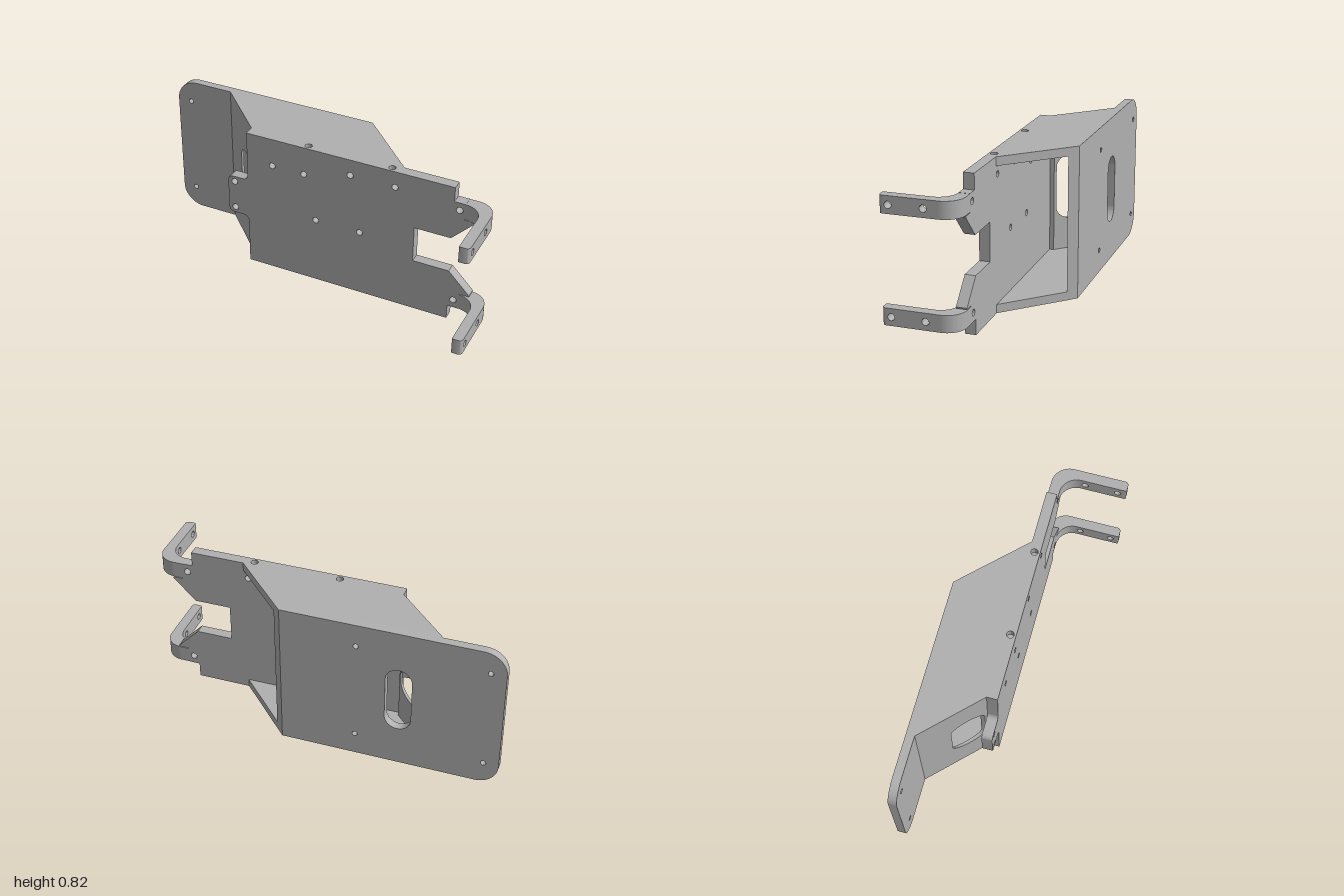
import * as THREE from 'three';
import { toCreasedNormals } from 'three/addons/utils/BufferGeometryUtils.js';

const H = 0.823, WALL = 0.047;           // overall height, side panel thickness
const BACK = -0.365, BACK_IN = -0.32;    // back plate faces
const FRONT_IN = -0.035, FRONT = 0.022;  // front plate faces

const metal = new THREE.MeshStandardMaterial({ color: 0xb0b0b0 });
metal.name = 'grey metal';

const polygon = (points) => new THREE.Shape(points.map(([x, y]) => new THREE.Vector2(x, y)));

// Outline with per-corner radius: [x, y, r]
function rounded(corners) {
  const s = new THREE.Shape(), n = corners.length;
  corners.forEach(([x, y, r = 0], i) => {
    const p = new THREE.Vector2(x, y);
    const toward = (q) => new THREE.Vector2(q[0], q[1]).sub(p).setLength(r).add(p);
    const a = toward(corners[(i + n - 1) % n]), b = toward(corners[(i + 1) % n]);
    if (i === 0) s.moveTo(a.x, a.y); else s.lineTo(a.x, a.y);
    if (r) {
      // circular fillet as a cubic, for right-angled corners
      const k = 0.5523;
      const c1 = a.clone().lerp(p, k), c2 = b.clone().lerp(p, k);
      s.bezierCurveTo(c1.x, c1.y, c2.x, c2.y, b.x, b.y);
    }
  });
  s.closePath();
  return s;
}

function drill(shape, holes, r) {
  for (const [x, y] of holes) shape.holes.push(new THREE.Path().absarc(x, y, r, 0, Math.PI * 2, true));
  return shape;
}

// Round-ended slot between two end centres
function slot(x1, y1, x2, y2, r) {
  const a = Math.atan2(y2 - y1, x2 - x1), q = Math.PI / 2;
  const p = new THREE.Path();
  p.absarc(x2, y2, r, a - q, a + q, false);
  p.absarc(x1, y1, r, a + q, a + 3 * q, false);
  p.closePath();
  return p;
}

const extrude = (shape, depth) => new THREE.ExtrudeGeometry(shape, { depth, bevelEnabled: false, curveSegments: 14 });

// Move vertices by a rule
function warp(geo, rule) {
  const pos = geo.attributes.position, v = new THREE.Vector3();
  for (let i = 0; i < pos.count; i++) {
    rule(v.fromBufferAttribute(pos, i));
    pos.setXYZ(i, v.x, v.y, v.z);
  }
  return geo;
}

export function createModel() {
  const model = new THREE.Group();
  const add = (name, geo) => {
    const mesh = new THREE.Mesh(toCreasedNormals(geo, 0.5), metal);
    mesh.name = name;
    model.add(mesh);
  };
  // Shapes drawn in (x, -z) and raised along y
  const upright = (shape, y0, y1) => extrude(shape, y1 - y0).rotateX(-Math.PI / 2).translate(0, y0, 0);
  const flipY = ([x, y, r]) => [x, H - y, r];

  // Back plate, rounded on one end and mitred on the other
  const back = rounded([[-1, 0, 0.12], [0.17, 0], [0.17, H], [-1, H, 0.12]]);
  drill(back, [[-0.92, 0.7], [-0.92, 0.125], [-0.235, 0.695], [-0.235, 0.128]], 0.014);
  const opening = () => slot(-0.461, 0.295, -0.461, 0.53, 0.07);
  back.holes.push(opening());
  add('backPlate', warp(extrude(back, BACK_IN - BACK).translate(0, 0, BACK), (v) => {
    if (v.x > 0.1 && v.z > BACK_IN - 0.01) v.x += 0.045;
  }));

  // Sloping wall joining the back plate to the front plate
  const slope = polygon([[-0.665, WALL], [-0.38, WALL], [-0.38, H - WALL], [-0.665, H - WALL]]);
  slope.holes.push(opening());
  add('slopingWall', warp(extrude(slope, 0.024).translate(0, 0, 0.321), (v) => { v.z += v.x; }));

  // Side panels with slanted slots, and the drilled edge rails of the front plate
  for (const [y0, y1, side] of [[0, WALL, 'lower'], [H - WALL, H, 'upper']]) {
    const panel = polygon([[-0.38, -FRONT_IN], [0.495, -FRONT_IN], [0.215, -BACK_IN], [-0.665, -BACK_IN]]);
    for (let i = 0; i < 5; i++) {
      const x = -0.507 + i * 0.176;
      panel.holes.push(slot(x, 0.267, x + 0.167, 0.097, 0.035));
    }
    add(side + 'SidePanel', upright(panel, y0, y1));
    const rail = polygon([[-0.38, -FRONT], [0.79, -FRONT], [0.79, -FRONT_IN], [-0.38, -FRONT_IN]]);
    drill(rail, [[-0.03, 0.008], [0.44, 0.008]], 0.019);
    add(side + 'EdgeRail', upright(rail, y0, y1));
  }

  // Front plate with tab on one end and forked notch on the other
  const upper = [
    [0.585, 0.515], [0.785, 0.515], [0.905, 0.638], [0.905, 0.645], [0.85, 0.645], [0.85, 0.74],
    [0.79, 0.74], [0.79, H - WALL], [-0.38, H - WALL], [-0.38, 0.528, 0.03], [-0.5, 0.528, 0.03],
  ];
  const front = rounded([...upper, ...upper.slice().reverse().map(flipY)]);
  drill(front, [[-0.23, 0.66], [-0.045, 0.66], [0.22, 0.73], [0.47, 0.73], [0.025, 0.39], [0.28, 0.39]], 0.017);
  drill(front, [[-0.461, 0.495], [-0.461, 0.33], [0.82, 0.695], [0.82, 0.13]], 0.018);
  add('frontPlate', extrude(front, FRONT - FRONT_IN).translate(0, 0, FRONT_IN));

  // Bent arms
  for (const [y0, y1, side] of [[0.084, 0.174, 'lower'], [0.649, 0.739, 'upper']]) {
    const elbow = new THREE.Shape();
    elbow.moveTo(0.85, -FRONT);
    elbow.absarc(0.85, -0.117, 0.095, Math.PI / 2, 0, true);
    elbow.lineTo(1, -0.117);
    elbow.absarc(0.9, -0.065, 0.1, 0, Math.PI / 2, false);
    elbow.lineTo(0.85, -FRONT_IN);
    elbow.closePath();
    add(side + 'ArmElbow', upright(elbow, y0, y1));

    const leg = polygon([[-0.343, y0], [-0.117, y0], [-0.117, y1], [-0.343, y1]]);
    const mid = (y0 + y1) / 2;
    drill(leg, [[-0.318, mid], [-0.141, mid]], 0.018);
    add(side + 'ArmLeg', extrude(leg, 0.055).rotateY(Math.PI / 2).translate(0.945, 0, 0));

    const tip = rounded([[0.945, -0.365, 0.006], [1, -0.365, 0.02], [1, -0.343], [0.945, -0.343]]);
    add(side + 'ArmTip', upright(tip, y0, y1));
  }
  return model;
}
